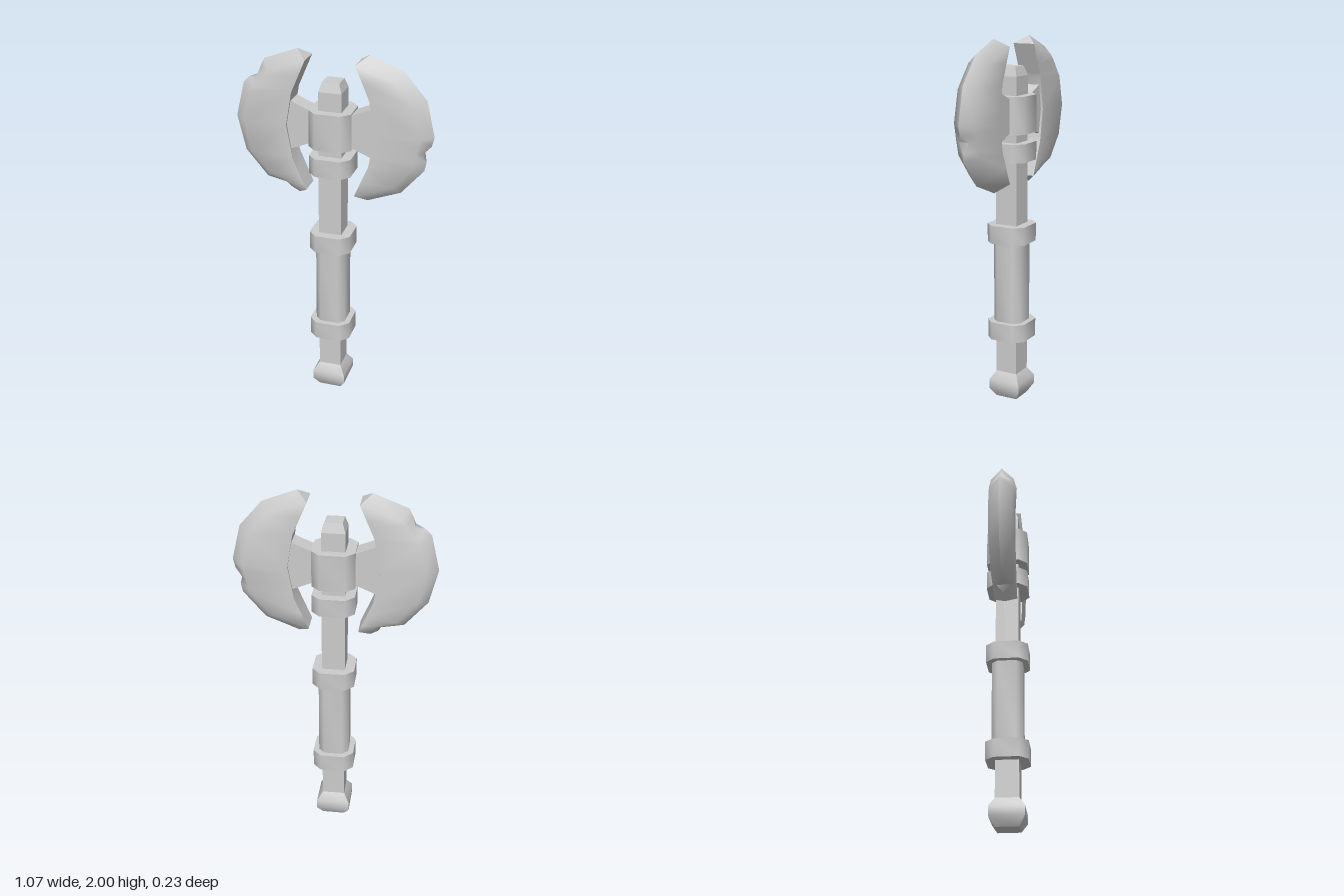
import * as THREE from 'three';
import { toCreasedNormals } from 'three/addons/utils/BufferGeometryUtils.js';

const material = new THREE.MeshStandardMaterial({ color: 0xcccccc });
const MID = 1.6;      // height of the blade centre
const THICK = 0.0625; // half thickness of blade and shaft

// Skin closed rings (listed top to bottom, counter-clockwise from above) and cap both ends.
function loft(name, rings, crease, side = 1) {
  const pos = [];
  const tri = (a, b, c) => {
    const pts = [a, b, c].map(p => new THREE.Vector3(p[0] * side, p[1], p[2]));
    if (new THREE.Triangle(...pts).getArea() < 1e-7) return;
    if (side < 0) pts.reverse();
    pts.forEach(p => pos.push(p.x, p.y, p.z));
  };
  const n = rings[0].length;
  for (let i = 0; i < rings.length - 1; i++) {
    for (let j = 0; j < n; j++) {
      const k = (j + 1) % n, a = rings[i], b = rings[i + 1];
      tri(a[j], b[j], b[k]);
      tri(a[j], b[k], a[k]);
    }
  }
  const top = rings[0], bottom = rings[rings.length - 1];
  for (let j = 1; j < n - 1; j++) {
    tri(top[0], top[j], top[j + 1]);
    tri(bottom[0], bottom[j + 1], bottom[j]);
  }
  const geo = new THREE.BufferGeometry();
  geo.setAttribute('position', new THREE.Float32BufferAttribute(pos, 3));
  const mesh = new THREE.Mesh(toCreasedNormals(geo, crease), material);
  mesh.name = name;
  return mesh;
}

// Square ring, or a chamfered one when the flat is shorter than the half width.
function square(y, h, flat = h) {
  if (flat === h) return [[-h, y, h], [h, y, h], [h, y, -h], [-h, y, -h]];
  return [[-flat, y, h], [flat, y, h], [h, y, flat], [h, y, -flat],
    [flat, y, -h], [-flat, y, -h], [-h, y, -flat], [-h, y, flat]];
}

// Concave inner outline of a blade.
function innerX(y) {
  const d = Math.abs(y - MID);
  return d < 0.18 ? 0.238 - 0.031 * d / 0.18 : 0.207 - 0.075 * (d - 0.18) / 0.177;
}

// Blade sections: edge x, edge y, edge half width, bevel x, bevel y, inner y.
const tip = [0.19, 2.0, 0, 0.132, 1.957, 1.957];
const shoulder = [0.37, 1.93, 0, 0.335, 1.885, 1.87];
const cheek = [0.49, 1.79, 0, 0.437, 1.765, 1.78];
const belly = [0.535, 1.6, 0, 0.475, 1.6, 1.6];
const flip = ([ex, ey, ez, bx, by, iy]) => [ex, 2 * MID - ey, ez, bx, 2 * MID - by, 2 * MID - iy];

// Battle-worn nicks: start, deepest point, end.
const frontNick = [
  [0.523, 1.55, 0, 0.466, 1.56, 1.56],
  [0.483, 1.512, 0.03, 0.457, 1.515, 1.52],
  [0.5, 1.46, 0, 0.446, 1.47, 1.47]];
const upperNick = [
  [0.39, 1.893, 0, 0.36, 1.86, 1.85],
  [0.405, 1.838, 0.03, 0.39, 1.82, 1.82],
  [0.455, 1.825, 0, 0.415, 1.79, 1.8]];
const lowerNick = [
  [0.325, 1.26, 0, 0.29, 1.3, 1.32],
  [0.25, 1.268, 0.04, 0.25, 1.288, 1.3],
  [0.232, 1.222, 0, 0.2, 1.268, 1.28]];

function blade(name, sections, side) {
  const rings = sections.map(([ex, ey, ez, bx, by, iy]) => [
    [innerX(iy), iy, THICK], [bx, by, THICK], [ex, ey, ez],
    [ex, ey, -ez], [bx, by, -THICK], [innerX(iy), iy, -THICK]]);
  return loft(name, rings, 1.0, side);
}

export function createModel() {
  const group = new THREE.Group();
  group.name = 'doubleAxe';

  // Shaft with tapered top, and the pommel
  group.add(loft('shaft', [square(1.85, 0.046), square(1.8, THICK), square(0.12, THICK)], 0.2));
  group.add(loft('pommel',
    [square(0.15, THICK), square(0.1, 0.093), square(0.05, 0.093), square(0, 0.062)], 0.9));

  // Grip, rings and head collar, all chamfered
  const bands = [
    ['grip', 0.45, 0.9, 0.083, 0.05],
    ['lowerGripRing', 0.35, 0.45, 0.113, 0.067],
    ['upperGripRing', 0.9, 1.0, 0.113, 0.067],
    ['neckRing', 1.35, 1.45, 0.113, 0.067],
    ['headCollar', 1.5, 1.7, 0.113, 0.067]];
  for (const [name, y0, y1, h, flat] of bands) {
    group.add(loft(name, [square(y1, h, flat), square(y0, h, flat)], 0.9));
  }

  // Flared arms joining the collar to the blades
  for (const [name, side] of [['leftArm', 1], ['rightArm', -1]]) {
    const rings = [1, -1].map(s => [[0.1, 0.084, 1], [0.25, 0.147, 1], [0.25, 0.147, -1], [0.1, 0.084, -1]]
      .map(([x, dy, z]) => [x, MID + s * dy, z * 0.05]));
    group.add(loft(name, rings, 0.2, side));
  }

  // Bevelled blades
  group.add(blade('leftBlade',
    [tip, shoulder, cheek, belly, ...frontNick, flip(cheek), flip(shoulder), flip(tip)], 1));
  group.add(blade('rightBlade',
    [tip, shoulder, ...upperNick, cheek, belly, flip(cheek), flip(shoulder), ...lowerNick, flip(tip)], -1));

  return group;
}
